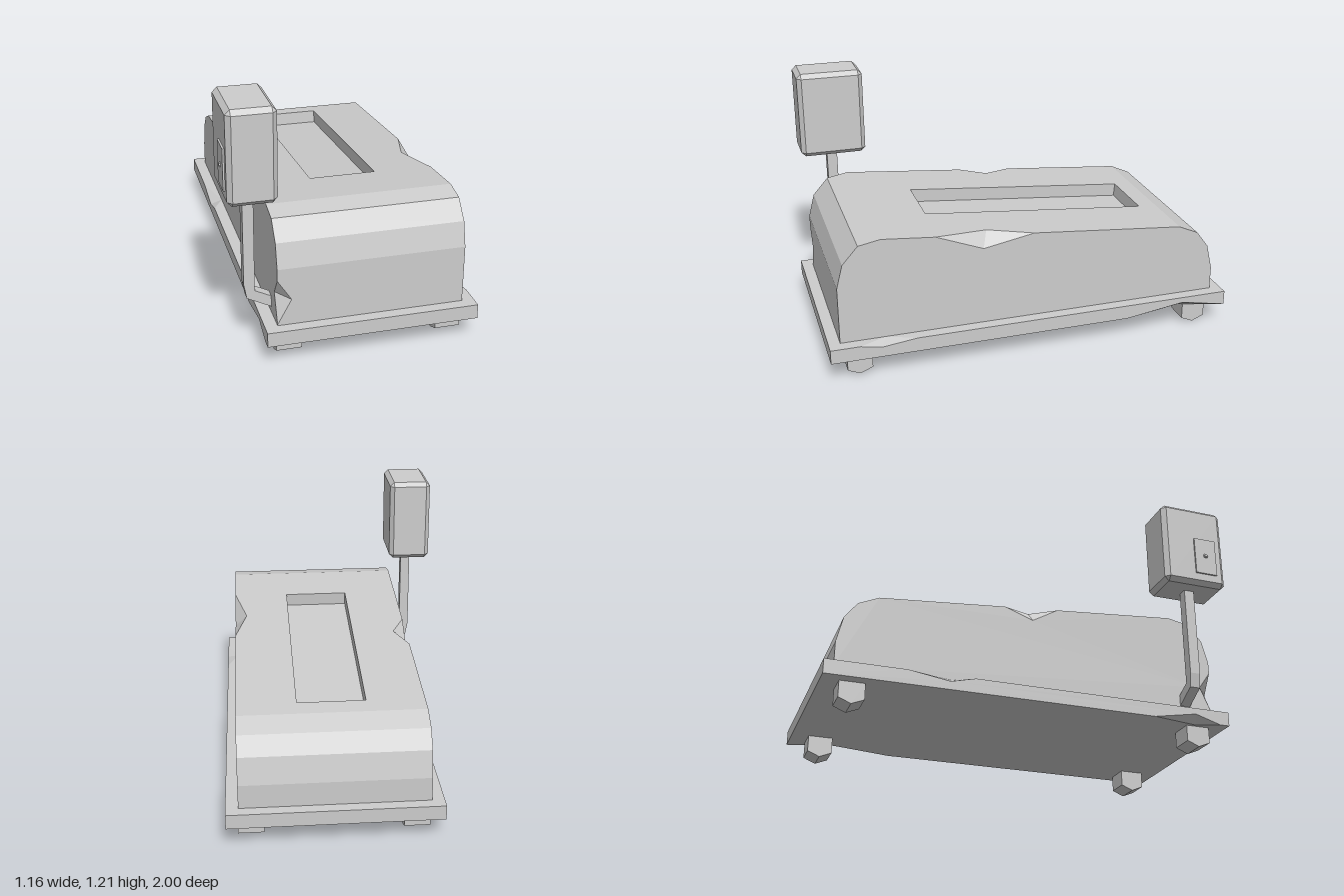
import * as THREE from 'three';
import { ConvexGeometry } from 'three/addons/geometries/ConvexGeometry.js';

const grey = new THREE.MeshStandardMaterial({ color: 0xcccccc });
grey.name = 'stone grey';

const V = (x, y, z) => new THREE.Vector3(x, y, z);

function mesh(name, geometry) {
  const m = new THREE.Mesh(geometry, grey);
  m.name = name;
  return m;
}

// Collects flat polygons, each given with a rough outward direction
class Faces {
  constructor() { this.positions = []; }

  add(loop, out, hole = []) {
    const abs = out.toArray().map(Math.abs);
    const drop = abs.indexOf(Math.max(...abs));
    const flat = (p) => new THREE.Vector2(...p.toArray().filter((_, i) => i !== drop));
    const contour = loop.map(flat), holes = hole.length ? [hole.map(flat)] : [];
    const all = [...loop, ...hole];
    for (const [a, b, c] of THREE.ShapeUtils.triangulateShape(contour, holes)) {
      const n = all[b].clone().sub(all[a]).cross(all[c].clone().sub(all[a]));
      const order = n.dot(out) >= 0 ? [a, b, c] : [a, c, b];
      for (const i of order) this.positions.push(...all[i].toArray());
    }
    return this;
  }

  // Two facets of a chip between edge points a, b and the face points c, d
  chip([a, c, b, d], out) {
    return this.add([a, c, d], out).add([b, c, d], out);
  }

  build() {
    const g = new THREE.BufferGeometry();
    g.setAttribute('position', new THREE.Float32BufferAttribute(this.positions, 3));
    g.computeVertexNormals();
    return g;
  }
}

// Slab with chipped long edges
function slabGeometry() {
  const L = -0.413, R = 0.578, B = 0.105, T = 0.175;
  // each chip: edge start, tip on the horizontal face, edge end, tip on the side
  const chips = {
    rt: [V(R, T, 0.86), V(0.52, T, 0.73), V(R, T, 0.59), V(R, 0.155, 0.76)],
    rb: [V(R, B, -0.47), V(0.515, B, -0.77), V(R, B, -0.99), V(R, 0.148, -0.77)],
    lt: [V(L, T, -0.3), V(-0.355, T, -0.4), V(L, T, -0.62), V(L, 0.145, -0.42)],
    lb: [V(L, B, 0.95), V(-0.37, B, 0.84), V(L, B, 0.6), V(L, 0.145, 0.82)],
  };
  const top = (c) => c.slice(0, 3);
  const side = (c) => [c[0], c[3], c[2]];
  const f = new Faces();
  for (const [y, r, l, dir] of [[T, chips.rt, chips.lt, 1], [B, chips.rb, chips.lb, -1]]) {
    f.add([V(R, y, 1), ...top(r), V(R, y, -1), V(L, y, -1), ...top(l).reverse(), V(L, y, 1)], V(0, dir, 0));
  }
  for (const [x, t, b, dir] of [[R, chips.rt, chips.rb, 1], [L, chips.lt, chips.lb, -1]]) {
    f.add([V(x, T, 1), ...side(t), V(x, T, -1), V(x, B, -1), ...side(b).reverse(), V(x, B, 1)], V(dir, 0, 0));
    f.chip(t, V(dir, 1, 0)).chip(b, V(dir, -1, 0));
  }
  for (const z of [1, -1]) f.add([V(L, B, z), V(R, B, z), V(R, T, z), V(L, T, z)], V(0, 0, z));
  return f.build();
}

// Sloping body with rounded ends, chipped edges and a recess in the top
function bodyGeometry() {
  const L = -0.355, R = 0.52;
  const profile = [
    [0.945, 0.175], [0.945, 0.455], [0.915, 0.57], [0.84, 0.655], [0.735, 0.675],
    [-0.755, 0.54], [-0.855, 0.495], [-0.915, 0.415], [-0.945, 0.29], [-0.945, 0.175],
  ];
  const deck = (z) => 0.54 + (z + 0.755) * (0.135 / 1.49);
  const D = (x, z) => V(x, deck(z), z);
  const rightChip = [D(R, 0.48), D(0.46, 0.22), D(R, 0), V(R, 0.562, 0.25)];
  const leftChip = [D(L, 0.13), D(-0.29, 0), D(L, -0.14), V(L, 0.545, 0)];
  const frontChip = [V(L, 0.18, 0.945), V(-0.29, 0.3, 0.945), V(L, 0.4, 0.945), V(L, 0.315, 0.885)];

  const f = new Faces();
  const recess = [D(-0.08, 0.46), D(0.24, 0.46), D(0.24, -0.66), D(-0.08, -0.66)];
  const floor = recess.map((p) => p.clone().add(V(0, -0.065, 0.006)));

  // end strips, with the deck and the front face carrying their chips
  for (let i = 0; i < profile.length - 1; i++) {
    const [z0, y0] = profile[i], [z1, y1] = profile[i + 1];
    const out = V(0, z0 - z1, y1 - y0);
    const right = i === 4 ? rightChip.slice(0, 3) : [];
    const left = i === 4 ? leftChip.slice(0, 3) : i === 0 ? frontChip.slice(0, 3) : [];
    f.add([V(R, y0, z0), ...right, V(R, y1, z1), V(L, y1, z1), ...left.reverse(), V(L, y0, z0)],
      out, i === 4 ? recess : []);
  }

  // side walls
  for (const [x, chip, dir] of [[R, rightChip, 1], [L, leftChip, -1]]) {
    const loop = profile.map(([z, y]) => V(x, y, z));
    loop.splice(5, 0, chip[0], chip[3], chip[2]);
    if (dir < 0) loop.splice(1, 0, frontChip[0], frontChip[3], frontChip[2]);
    f.add(loop, V(dir, 0, 0)).chip(chip, V(dir, 1, 0));
  }
  f.chip(frontChip, V(-1, 0, 1));

  // recess walls and floor
  const inward = [V(0, 0, -1), V(-1, 0, 0), V(0, 0, 1), V(1, 0, 0)];
  inward.forEach((n, i) => {
    const j = (i + 1) % 4;
    f.add([recess[i], recess[j], floor[j], floor[i]], n);
  });
  f.add(floor, V(0, 1, 0));
  return f.build();
}

// Box with every edge bevelled by c
function bevelBox(w, h, d, c) {
  const pts = [];
  for (const sx of [-1, 1]) for (const sy of [-1, 1]) for (const sz of [-1, 1]) {
    const x = w / 2, y = h / 2, z = d / 2;
    pts.push(V(sx * x, sy * (y - c), sz * (z - c)), V(sx * (x - c), sy * y, sz * (z - c)),
      V(sx * (x - c), sy * (y - c), sz * z));
  }
  return new ConvexGeometry(pts);
}

function extrude(points, depth) {
  const shape = new THREE.Shape(points.map((p) => new THREE.Vector2(...p)));
  return new THREE.ExtrudeGeometry(shape, { depth, bevelEnabled: false });
}

export function createModel() {
  const model = new THREE.Group();
  model.name = 'machine';
  model.add(mesh('baseSlab', slabGeometry()), mesh('body', bodyGeometry()));

  // Feet with a blunt wedge underneath
  const footShape = [[-0.06, 0.11], [-0.06, 0.027], [0, 0.002], [0.06, 0.027], [0.06, 0.11]];
  for (const x of [-0.295, 0.465]) for (const z of [0.857, -0.857]) {
    const foot = mesh('foot', extrude(footShape, 0.12).translate(0, 0, -0.06).rotateY(Math.PI / 2));
    foot.position.set(x, 0, z);
    model.add(foot);
  }

  // Bent square post
  const post = mesh('post', extrude([
    [-0.48, 0.8], [-0.48, 0.33], [-0.467, 0.26], [-0.34, 0.195],
    [-0.34, 0.25], [-0.43, 0.295], [-0.43, 0.8],
  ], 0.052));
  post.position.z = 0.77;
  model.add(post);

  // Control box with hatch and knob
  const box = mesh('controlBox', bevelBox(0.22, 0.435, 0.33, 0.022));
  box.position.set(-0.457, 0.998, 0.795);
  const hatch = mesh('hatch', new THREE.BoxGeometry(0.009, 0.195, 0.115));
  hatch.position.set(-0.571, 0.938, 0.852);
  const knob = mesh('knob', new THREE.CylinderGeometry(0.008, 0.014, 0.008, 8).toNonIndexed().rotateZ(Math.PI / 2));
  knob.geometry.computeVertexNormals();
  knob.position.set(-0.578, 0.942, 0.852);
  model.add(box, hatch, knob);
  return model;
}
